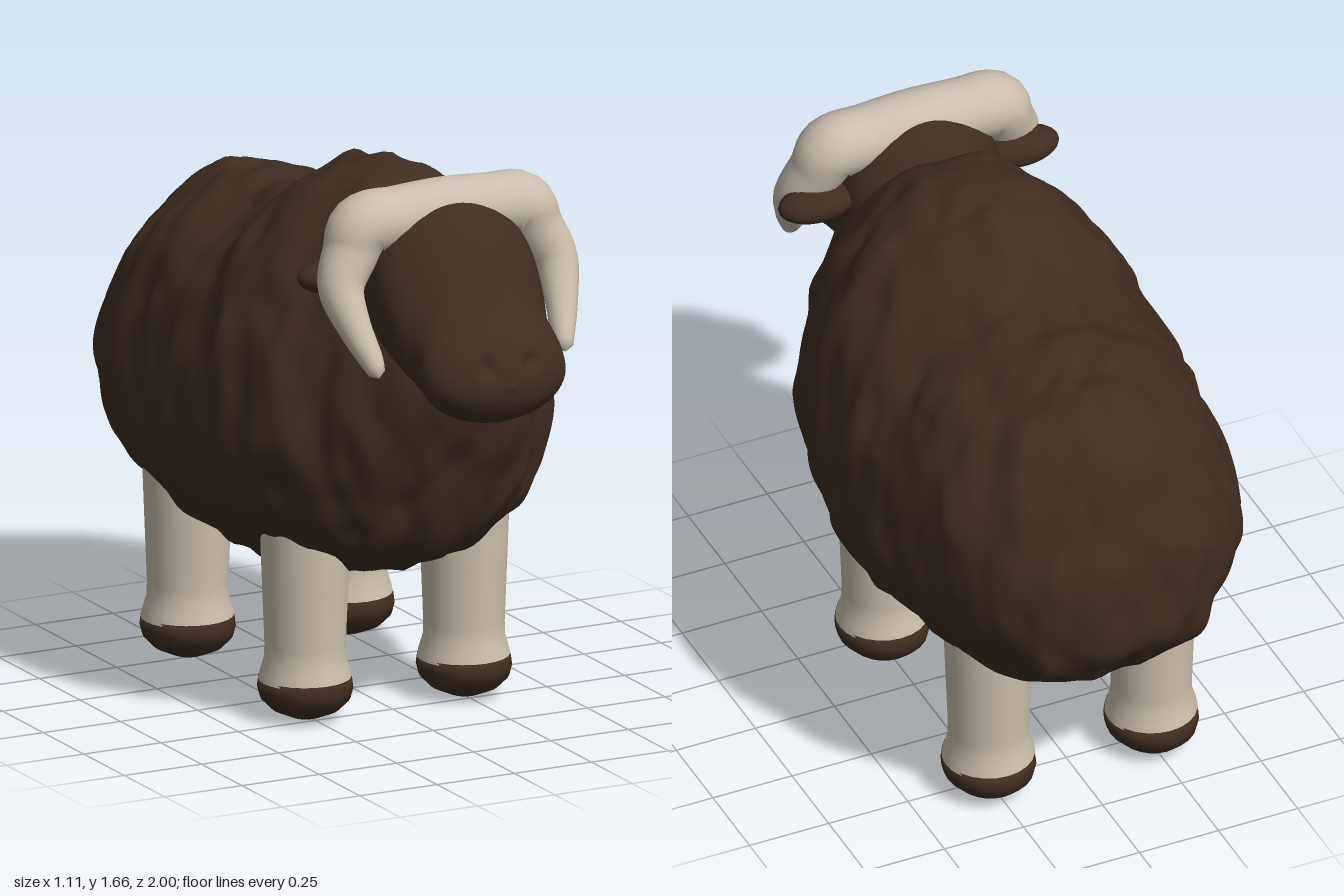
import * as THREE from 'three';

const wool = new THREE.MeshStandardMaterial({ color: 0x3e2d21 });
wool.name = 'dark brown wool';
const bone = new THREE.MeshStandardMaterial({ color: 0xcabfae });
bone.name = 'pale bone';

function add(parent, name, geometry, material) {
  const mesh = new THREE.Mesh(geometry, material);
  mesh.name = name;
  parent.add(mesh);
  return mesh;
}

// Skin over oval rings along z; each ring is [z, bottom, top, half width, height of widest point].
// Powers below 1 square off the upper or lower half, powers above 1 slim it.
function loft(rings, steps, sides, upperPower, lowerPower, shift) {
  const heights = new THREE.CatmullRomCurve3(rings.map(r => new THREE.Vector3(r[0], r[1], r[2])), false, 'catmullrom');
  const widths = new THREE.CatmullRomCurve3(rings.map(r => new THREE.Vector3(r[0], r[3], r[4])), false, 'catmullrom');
  const positions = [], index = [], p = new THREE.Vector3();
  for (let i = 0; i <= steps; i++) {
    const h = heights.getPoint(i / steps), w = widths.getPoint(i / steps);
    for (let j = 0; j < sides; j++) {
      const a = j / sides * Math.PI * 2, c = Math.cos(a), s = Math.sin(a);
      const x = Math.sign(s) * Math.abs(s) ** (c > 0 ? upperPower : lowerPower);
      p.set(w.y * x, w.z + c * (c > 0 ? h.z - w.z : w.z - h.y), h.x);
      shift(p);
      positions.push(p.x, p.y, p.z);
      if (i < steps) {
        const k = i * sides + j, l = i * sides + (j + 1) % sides;
        index.push(k, k + sides, l, l, k + sides, l + sides);
      }
    }
  }
  const g = new THREE.BufferGeometry();
  g.setAttribute('position', new THREE.Float32BufferAttribute(positions, 3));
  g.setIndex(index);
  g.computeVertexNormals();
  return g;
}

// Smooth random field from -1 to 1
function hash(x, y, z) {
  const h = Math.sin(x * 127.1 + y * 311.7 + z * 74.7) * 43758.5453;
  return (h - Math.floor(h)) * 2 - 1;
}
function noise(x, y, z) {
  const cell = [x, y, z].map(Math.floor);
  const f = [x, y, z].map((v, i) => { const t = v - cell[i]; return t * t * (3 - 2 * t); });
  let sum = 0;
  for (let n = 0; n < 8; n++) {
    const o = [n & 1, (n >> 1) & 1, n >> 2];
    const weight = o.reduce((w, b, i) => w * (b ? f[i] : 1 - f[i]), 1);
    sum += weight * hash(cell[0] + o[0], cell[1] + o[1], cell[2] + o[2]);
  }
  return sum;
}

// Uneven clumps of fleece, longer up and down than across
function fleece(p) {
  const clump = noise(p.x * 9 + 20, p.y * 4.5, p.z * 9 + 20);
  const lock = noise(p.x * 17, p.y * 7 + 30, p.z * 17);
  const out = new THREE.Vector3(p.x, p.y - 0.9, p.z * 0.35).normalize();
  p.addScaledVector(out, 0.019 * clump + 0.013 * lock);
}

// Two shallow nostrils
function nostrils(p) {
  if (p.z < 0.8) return;
  const d = Math.hypot(Math.abs(p.x) - 0.07, p.y - 1.21);
  p.z -= 0.022 * Math.exp(-d * d / 0.0006);
}

// One horn pair as a swept tube whose radius follows the path
function hornGeometry() {
  const half = [
    [0.15, 1.558, 0.548, 0.096], [0.255, 1.55, 0.55, 0.096], [0.3, 1.48, 0.56, 0.082],
    [0.345, 1.39, 0.59, 0.068], [0.335, 1.29, 0.65, 0.05], [0.31, 1.2, 0.71, 0.035], [0.302, 1.152, 0.742, 0.02],
  ];
  const path = [...half.map(([x, ...rest]) => [-x, ...rest]).reverse(), [0, 1.562, 0.548, 0.099], ...half];
  const curve = new THREE.CatmullRomCurve3(path.map(q => new THREE.Vector3(q[0], q[1], q[2])), false, 'catmullrom');
  const radii = new THREE.CatmullRomCurve3(path.map(q => new THREE.Vector3(q[3], 0, 0)), false, 'catmullrom');
  const steps = 90, sides = 20;
  const g = new THREE.TubeGeometry(curve, steps, 1, sides, false);
  const pos = g.attributes.position, v = new THREE.Vector3();
  for (let i = 0; i <= steps; i++) {
    const u = i / steps, c = curve.getPointAt(u);
    const r = i % steps ? radii.getPoint(curve.getUtoTmapping(u)).x : 0;
    for (let j = 0; j <= sides; j++) {
      const k = i * (sides + 1) + j;
      v.fromBufferAttribute(pos, k).sub(c).multiplyScalar(r).add(c);
      pos.setXYZ(k, v.x, v.y, v.z);
    }
  }
  g.computeVertexNormals();
  return g;
}

function lathe(points) {
  return new THREE.LatheGeometry(points.map(([r, y]) => new THREE.Vector2(r, y)), 24);
}

export function createModel() {
  const model = new THREE.Group();
  model.name = 'ram';

  // Fleecy body with raised shoulders
  add(model, 'body', loft([
    [-0.995, 0.9, 0.9, 0, 0.9], [-0.98, 0.76, 1.03, 0.14, 0.9], [-0.94, 0.66, 1.13, 0.25, 0.89],
    [-0.85, 0.55, 1.29, 0.36, 0.88], [-0.7, 0.465, 1.4, 0.45, 0.87], [-0.5, 0.425, 1.43, 0.51, 0.87],
    [-0.25, 0.4, 1.45, 0.54, 0.85], [0, 0.39, 1.585, 0.545, 0.85], [0.18, 0.41, 1.635, 0.515, 0.88],
    [0.35, 0.465, 1.57, 0.45, 0.91], [0.48, 0.56, 1.48, 0.355, 0.97], [0.56, 0.71, 1.42, 0.28, 1.05],
    [0.63, 0.9, 1.3, 0.2, 1.1], [0.69, 1.1, 1.1, 0, 1.1],
  ], 120, 120, 1.12, 0.77, fleece), wool);

  // Head sloping down to a broad muzzle
  add(model, 'head', loft([
    [0.345, 1.42, 1.42, 0, 1.42], [0.365, 1.28, 1.53, 0.15, 1.4], [0.44, 1.15, 1.605, 0.23, 1.38],
    [0.54, 1.08, 1.63, 0.25, 1.38], [0.64, 1.05, 1.605, 0.255, 1.36], [0.72, 1.05, 1.54, 0.245, 1.28],
    [0.8, 1.025, 1.44, 0.222, 1.2], [0.88, 1.02, 1.34, 0.225, 1.16], [0.94, 1.04, 1.28, 0.19, 1.155],
    [0.98, 1.085, 1.215, 0.115, 1.15], [1, 1.15, 1.15, 0, 1.15],
  ], 70, 72, 1, 1, nostrils), wool);

  add(model, 'horns', hornGeometry(), bone);

  // Ears behind the horns
  for (const side of [-1, 1]) {
    const ear = add(model, side > 0 ? 'leftEar' : 'rightEar', new THREE.SphereGeometry(1, 24, 16), wool);
    ear.scale.set(0.12, 0.053, 0.07);
    ear.position.set(side * 0.32, 1.405, 0.508);
  }

  // Four legs with rounded hooves
  const leg = lathe([[0.135, 0.115], [0.13, 0.14], [0.118, 0.18], [0.117, 0.22], [0.124, 0.4], [0.131, 0.58], [0.131, 0.7], [0, 0.72]]);
  const hoof = lathe([[0, 0], [0.045, 0.004], [0.1, 0.028], [0.132, 0.06], [0.14, 0.09], [0.136, 0.122], [0, 0.123]]);
  for (const [end, z] of [['front', 0.2], ['back', -0.525]]) {
    for (const side of [-1, 1]) {
      const limb = new THREE.Group();
      limb.name = end + (side > 0 ? 'LeftLeg' : 'RightLeg');
      limb.position.set(side * 0.257, 0, z);
      add(limb, 'leg', leg, bone);
      add(limb, 'hoof', hoof, wool).scale.set(0.97, 1, 1.05);
      model.add(limb);
    }
  }
  return model;
}
